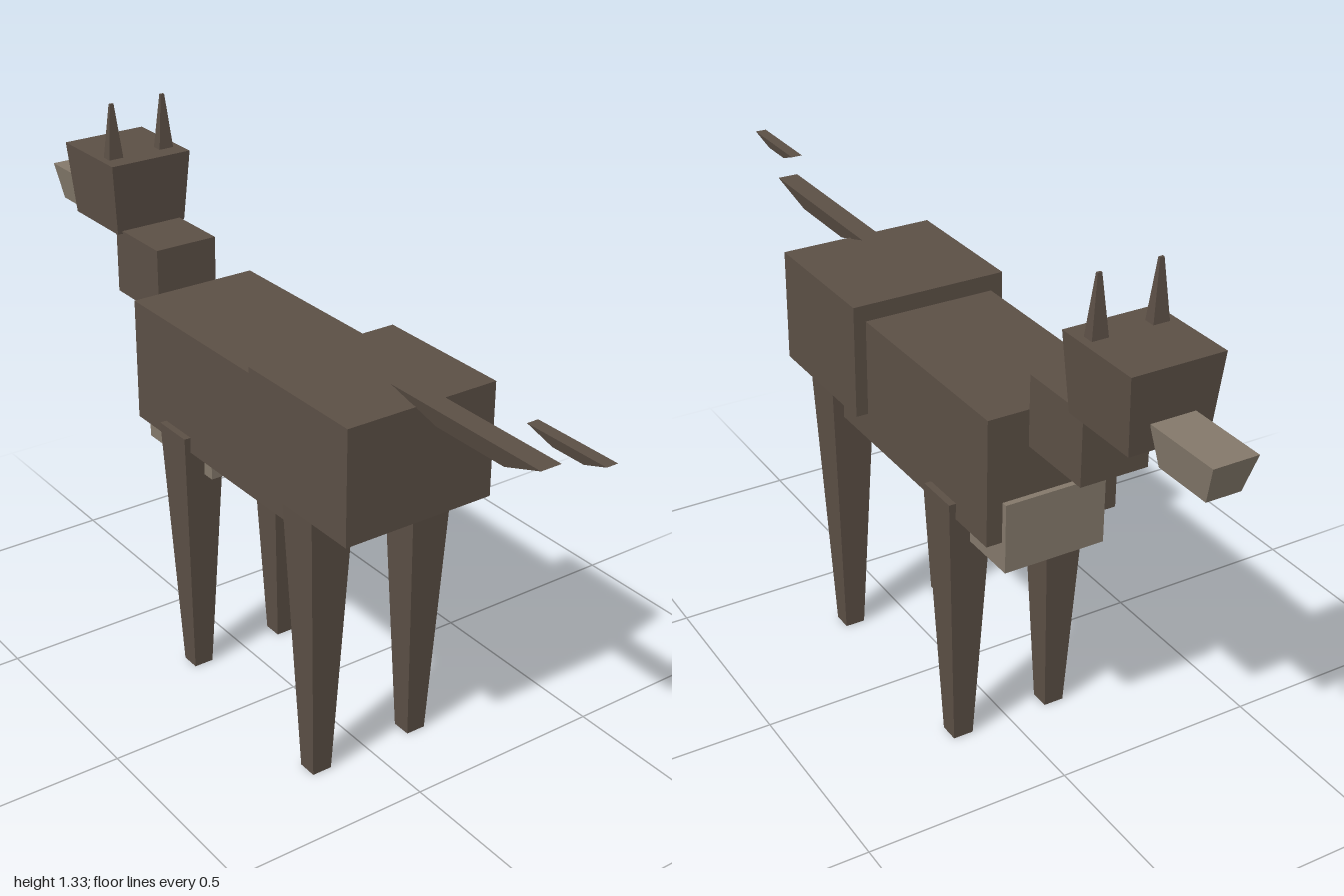
import * as THREE from 'three';

// Box whose top and bottom rectangles differ: top/bottom = [x0, x1, z0, z1]
function taperedBox(y0, y1, bottom, top) {
  const geo = new THREE.BoxGeometry(1, 1, 1);
  const p = geo.attributes.position;
  for (let i = 0; i < p.count; i++) {
    const up = p.getY(i) > 0;
    const r = up ? top : bottom;
    p.setXYZ(i, p.getX(i) < 0 ? r[0] : r[1], up ? y1 : y0, p.getZ(i) < 0 ? r[2] : r[3]);
  }
  geo.computeVertexNormals();
  return geo;
}

export function createModel() {
  const model = new THREE.Group();
  const fur = new THREE.MeshStandardMaterial({ color: 0x5b4f45 });
  fur.name = 'darkFur';
  const pale = new THREE.MeshStandardMaterial({ color: 0x83786a });
  pale.name = 'paleFur';

  const add = (name, mat, y0, y1, bottom, top = bottom) => {
    const mesh = new THREE.Mesh(taperedBox(y0, y1, bottom, top), mat);
    mesh.name = name;
    model.add(mesh);
  };
  // Part centred on x = 0: half widths and z ranges for bottom and top
  const centred = (name, mat, y0, y1, [wb, b0, b1], [wt, t0, t1] = [wb, b0, b1]) =>
    add(name, mat, y0, y1, [-wb, wb, b0, b1], [-wt, wt, t0, t1]);

  // Body
  centred('hindquarters', fur, 0.69, 0.965, [0.193, 0.11, 0.463]);
  centred('trunk', fur, 0.622, 0.925, [0.163, -0.418, 0.24]);
  centred('chest', pale, 0.552, 0.72, [0.125, -0.432, -0.155]);

  // Neck and head
  centred('neck', fur, 0.857, 1.022, [0.081, -0.635, -0.445]);
  centred('head', fur, 1.015, 1.192, [0.094, -0.805, -0.605], [0.108, -0.82, -0.593]);
  centred('muzzle', pale, 0.99, 1.077, [0.04, -0.972, -0.828], [0.052, -1.0, -0.808]);

  // Tail in two floating pieces
  centred('tailBase', fur, 0.942, 0.988, [0.013, 0.52, 0.728], [0.026, 0.385, 0.845]);
  centred('tailTip', fur, 1.036, 1.061, [0.007, 0.85, 0.935], [0.014, 0.785, 1.0]);

  // Ears and legs, mirrored
  for (const [s, side] of [[1, 'left'], [-1, 'right']]) {
    const around = (cx, cz, hx, hz) => [s * cx - hx, s * cx + hx, cz - hz, cz + hz];
    add(side + 'Ear', fur, 1.185, 1.325, around(0.07, -0.652, 0.02, 0.014), around(0.07, -0.652, 0.005, 0.003));
    add(side + 'HindLeg', fur, 0, 0.692, around(0.137, 0.287, 0.025, 0.024), around(0.137, 0.287, 0.055, 0.054));
    add(side + 'FrontLeg', fur, 0, 0.662, around(0.125, -0.237, 0.025, 0.024), around(0.125, -0.237, 0.055, 0.054));
  }
  return model;
}
